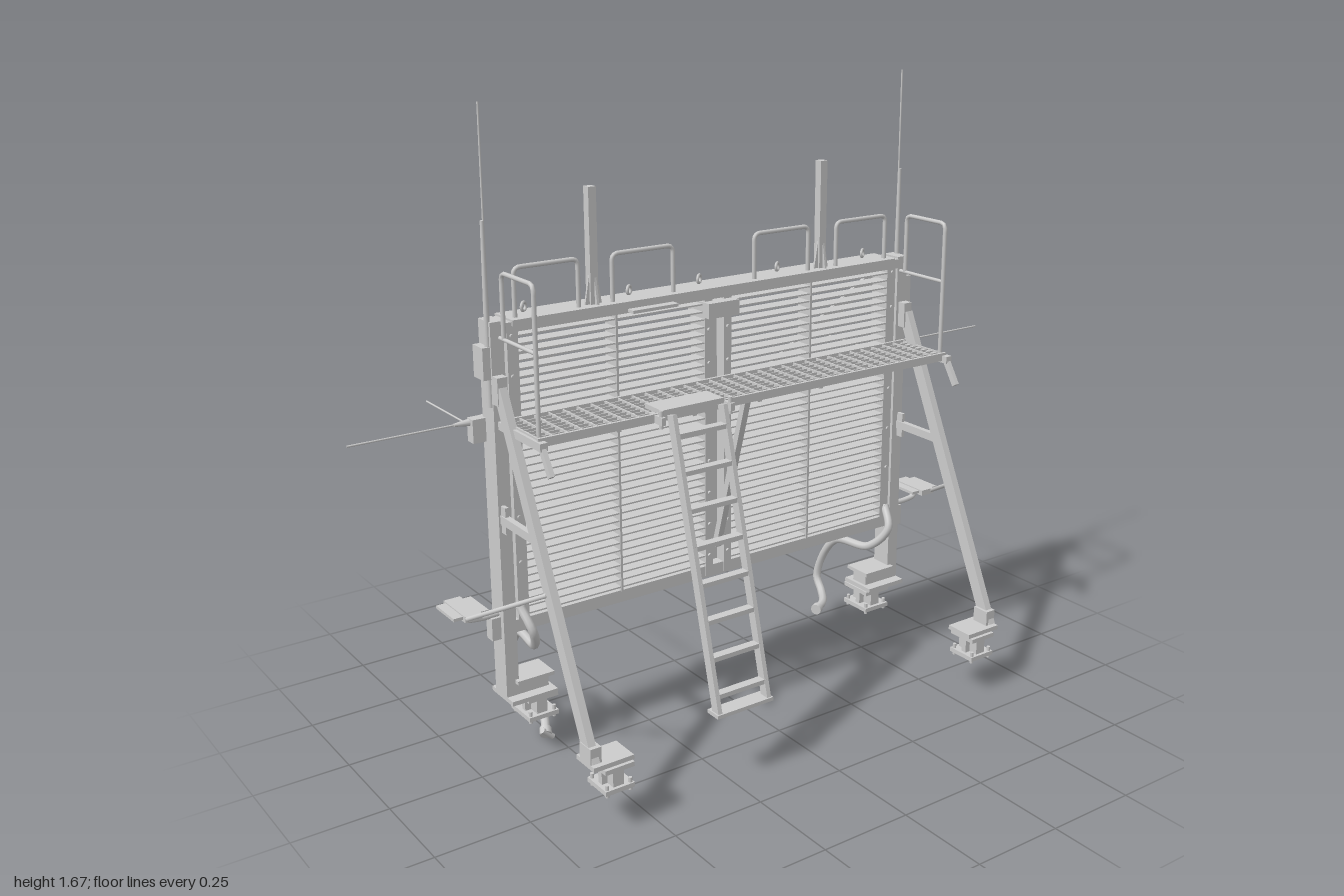
import * as THREE from 'three';

const V = (x, y, z) => new THREE.Vector3(x, y, z);

export function createModel() {
  const root = new THREE.Group();
  const mat = new THREE.MeshStandardMaterial({ color: 0xcccccc, side: THREE.DoubleSide });

  const add = (name, geo) => {
    const m = new THREE.Mesh(geo, mat);
    m.name = name;
    root.add(m);
    return m;
  };
  // Box given by its min and max corners
  const box = (name, x0, x1, y0, y1, z0, z1) => {
    const m = add(name, new THREE.BoxGeometry(Math.abs(x1 - x0), y1 - y0, z1 - z0));
    m.position.set((x0 + x1) / 2, (y0 + y1) / 2, (z0 + z1) / 2);
    return m;
  };
  // Square bar between two points: w across x (or the side), d the other way
  const beam = (name, a, b, w, d) => {
    const dir = b.clone().sub(a);
    const m = add(name, new THREE.BoxGeometry(w, dir.length(), d));
    m.position.copy(a).add(b).multiplyScalar(0.5);
    m.quaternion.setFromUnitVectors(V(0, 1, 0), dir.normalize());
    return m;
  };
  // Round rod between two points, tapering from r0 to r1
  const rod = (name, a, b, r0, r1 = r0) => {
    const dir = b.clone().sub(a);
    const m = add(name, new THREE.CylinderGeometry(r1, r0, dir.length(), 10));
    m.position.copy(a).add(b).multiplyScalar(0.5);
    m.quaternion.setFromUnitVectors(V(0, 1, 0), dir.normalize());
    return m;
  };
  const hose = (name, pts, r, n = 48) =>
    add(name, new THREE.TubeGeometry(new THREE.CatmullRomCurve3(pts), n, r, 8));
  // Pipe hoop with rounded corners: base a, base b, top height y
  const hoop = (name, a, b, y) => {
    const c = 0.018, path = new THREE.CurvePath();
    const ta = V(a.x, y, a.z), tb = V(b.x, y, b.z);
    const along = tb.clone().sub(ta).normalize().multiplyScalar(c);
    const a1 = V(a.x, y - c, a.z), a2 = ta.clone().add(along);
    const b1 = tb.clone().sub(along), b2 = V(b.x, y - c, b.z);
    path.add(new THREE.LineCurve3(a, a1));
    path.add(new THREE.QuadraticBezierCurve3(a1, ta, a2));
    path.add(new THREE.LineCurve3(a2, b1));
    path.add(new THREE.QuadraticBezierCurve3(b1, tb, b2));
    path.add(new THREE.LineCurve3(b2, b));
    add(name, new THREE.TubeGeometry(path, 60, 0.006, 8));
  };
  // I-section pedestal with base plate and bolts
  const pedestal = (name, x, y0, y1, z, w, d) => {
    box(name + 'BasePlate', x - w / 2, x + w / 2, y0, y0 + 0.012, z - d / 2, z + d / 2);
    box(name + 'TopPlate', x - w / 2, x + w / 2, y1 - 0.012, y1, z - d / 2, z + d / 2);
    box(name + 'Web', x - 0.015, x + 0.015, y0, y1, z - d * 0.4, z + d * 0.4);
    box(name + 'CrossWeb', x - w * 0.38, x + w * 0.38, y0, y1, z - 0.008, z + 0.008);
    for (const i of [-1, 1]) for (const j of [-1, 1])
      rod(name + 'Bolt', V(x + i * w * 0.4, y0 - 0.008, z + j * d * 0.4), V(x + i * w * 0.4, y0 + 0.024, z + j * d * 0.4), 0.005);
  };

  // Main frame
  box('topBeam', -0.62, 0.62, 1.13, 1.155, -0.1, -0.025);
  box('topBeamLip', -0.6, 0.6, 1.145, 1.16, -0.11, -0.02);
  box('bottomBeam', -0.62, 0.62, 0.355, 0.388, -0.09, -0.03);
  for (const s of [-1, 1]) {
    box('centerPostFlange', s * 0.018, s * 0.042, 0.36, 1.14, -0.093, -0.028);
    box('thinMullion', s * 0.305, s * 0.311, 0.385, 1.13, -0.08, -0.028);
  }
  box('centerPostWeb', -0.02, 0.02, 0.36, 1.14, -0.085, -0.06);
  box('centerPostHead', -0.048, 0.048, 1.085, 1.125, -0.095, 0);
  for (let y = 0.42; y < 1.08; y += 0.09)
    for (const s of [-1, 1]) rod('centerPostBolt', V(s * 0.03, y, -0.1), V(s * 0.03, y, -0.022), 0.005);

  // Horizontal louvre slats
  for (let i = 0; i < 36; i++) {
    const y = 0.395 + i * 0.0206;
    for (const s of [-1, 1])
      box('slat', s * 0.042, s * 0.585, y, y + 0.004, -0.073, -0.03);
  }

  // Crossed braces on the back
  for (const s of [-1, 1]) {
    const a = V(-0.59, 0.75 - s * 0.345, -0.094 - (s + 1) * 0.004), b = V(0.59, 0.75 + s * 0.345, a.z);
    const m = add('crossBrace', new THREE.BoxGeometry(a.distanceTo(b), 0.034, 0.01));
    m.position.set(0, 0.75, a.z);
    m.rotation.z = Math.atan2(b.y - a.y, b.x - a.x);
  }

  // Lifting eyes
  for (const x of [-0.535, -0.235, -0.02, 0.235, 0.535]) {
    const eye = add('liftingEye', new THREE.TorusGeometry(0.011, 0.004, 6, 14));
    eye.position.set(x, 1.172, -0.085);
    eye.rotation.y = 0.6;
  }

  for (const s of [-1, 1]) {
    // Side posts
    box('sidePost', s * 0.62, s * 0.655, 0.17, 1.16, -0.09, -0.03);
    box('innerPost', s * 0.582, s * 0.612, 0.36, 1.14, -0.092, -0.03);
    box('postLink', s * 0.61, s * 0.622, 0.36, 1.14, -0.07, -0.05);
    for (let y = 0.28; y < 1.12; y += 0.12)
      rod('postBolt', V(s * 0.6, y + 0.14 > 1.12 ? 1.12 : y + 0.14, -0.098), V(s * 0.6, y + 0.14 > 1.12 ? 1.12 : y + 0.14, -0.025), 0.005);

    // Rear feet
    box('rearFootShelf', s * 0.525, s * 0.655, 0.17, 0.182, -0.11, 0);
    box('rearFootBox', s * 0.535, s * 0.62, 0.182, 0.222, -0.085, -0.03);
    box('rearFootCap', s * 0.525, s * 0.63, 0.215, 0.225, -0.1, -0.015);
    pedestal('rearFoot', s * 0.563, 0.105, 0.17, -0.058, 0.085, 0.1);

    // Raking front legs with feet
    beam('frontLeg', V(s * 0.643, 0.18, 0.37), V(s * 0.643, 1.0, -0.015), 0.02, 0.036);
    box('frontLegTopBracket', s * 0.628, s * 0.655, 0.96, 1.03, -0.04, -0.005);
    box('frontFootShelf', s * 0.545, s * 0.655, 0.172, 0.184, 0.315, 0.395);
    box('frontFootGusset', s * 0.625, s * 0.655, 0.18, 0.225, 0.33, 0.38);
    pedestal('frontFoot', s * 0.59, 0.105, 0.172, 0.362, 0.08, 0.085);

    // Horizontal tie between leg and post
    beam('legTie', V(s * 0.643, 0.665, 0.14), V(s * 0.643, 0.665, -0.03), 0.016, 0.022);
    box('tieGusset', s * 0.638, s * 0.648, 0.63, 0.7, -0.035, -0.008);
    box('walkwayEndBracket', s * 0.625, s * 0.645, 0.895, 0.915, -0.04, 0.175);
    beam('walkwayCorner', V(s * 0.635, 0.84, 0.205), V(s * 0.635, 0.91, 0.16), 0.012, 0.016);

    // Side pad with bent carrier pipe and stay
    box('sidePad', s * 0.7, s * 0.795, 0.435, 0.443, -0.115, -0.018);
    box('sidePadTab', s * 0.725, s * 0.77, 0.43, 0.446, -0.125, -0.005);
    hose('sidePadPipe', [V(s * 0.75, 0.432, -0.06), V(s * 0.74, 0.412, -0.06), V(s * 0.71, 0.405, -0.06), V(s * 0.64, 0.405, -0.06)], 0.008, 20);
    box('sidePadClamp', s * 0.65, s * 0.68, 0.34, 0.4, -0.075, -0.045);
    rod('sidePadStay', V(s * 0.765, 0.44, -0.005), V(s * 0.65, 0.545, 0.19), 0.006);

    // Top guard hoops and end guard rail
    hoop('topHoop', V(s * 0.58, 1.155, -0.045), V(s * 0.405, 1.155, -0.045), 1.28);
    hoop('topHoop', V(s * 0.308, 1.155, -0.045), V(s * 0.128, 1.155, -0.045), 1.28);
    hoop('endRail', V(s * 0.63, 0.91, 0.143), V(s * 0.63, 1.12, -0.01), 1.28);
    rod('endMidRail', V(s * 0.63, 1.12, 0.143), V(s * 0.63, 1.12, -0.035), 0.005);

    // Mast with gussets
    box('mast', s * 0.348, s * 0.37, 1.155, 1.45, -0.068, -0.045);
    for (const r of [0, Math.PI / 2]) {
      const shape = new THREE.Shape([[-0.024, 0], [0.024, 0], [0.011, 0.075], [-0.011, 0.075]].map(p => new THREE.Vector2(...p)));
      const g = add('mastGusset', new THREE.ExtrudeGeometry(shape, { depth: 0.006, bevelEnabled: false }));
      g.position.set(s * 0.359, 1.158, -0.057);
      g.rotation.y = r;
    }

    // Whip aerials: upright, sideways and rearward
    const wz = s < 0 ? -0.045 : -0.075, hy = s < 0 ? 0.905 : 0.89, by = s < 0 ? 0.87 : 0.857;
    rod('aerialBase', V(s * 0.655, 0.95, wz), V(s * 0.655, 1.4, wz), 0.009, 0.005);
    rod('uprightAerial', V(s * 0.652, 1.3, wz), V(s * 0.652, 1.67, wz), 0.0025);
    box('aerialBracket', s * 0.65, s * 0.675, 1.02, 1.1, -0.085, -0.035);
    rod('sideAerialBase', V(s * 0.65, hy, -0.095), V(s * 0.73, hy, -0.095), 0.014, 0.004);
    rod('sideAerial', V(s * 0.7, hy, -0.095), V(s, hy, -0.095), 0.0025);
    rod('rearAerial', V(s * 0.652, by, -0.08), V(s * 0.652, by, -0.415), 0.0025);
    box('sideBracket', s * 0.64, s * 0.69, 0.855, 0.915, -0.105, -0.075);

    // Hose hanging from the post
    const end = s < 0
      ? [V(-0.5, 0.1, -0.2), V(-0.505, 0.05, -0.12), V(-0.53, 0.02, -0.065)]
      : [V(0.52, 0.1, -0.215), V(0.48, 0.095, -0.16), V(0.43, 0.093, -0.13)];
    hose('hose', [V(s * 0.605, 0.42, -0.035), V(s * 0.59, 0.36, 0), V(s * 0.562, 0.295, -0.05),
      V(s * 0.54, 0.275, -0.18), V(s * 0.53, 0.14, -0.25), ...end], 0.012, 64);
    const tip = end[2], prev = end[1];
    rod('hoseCoupling', tip.clone().lerp(prev, 0.3), tip, 0.016);
  }
  rod('hoseHook', V(-0.54, 0.035, -0.065), V(-0.51, 0.008, -0.065), 0.008);

  // Grated walkway
  for (const z of [-0.02, 0.15]) box('walkwayRail', -0.64, 0.64, 0.9, 0.922, z, z + 0.008);
  for (let i = 0; i <= 32; i++) {
    const x = -0.635 + i * 0.0397;
    box('gratingBar', x - 0.002, x + 0.002, 0.9, 0.92, -0.015, 0.152);
  }
  for (let z = 0.004; z < 0.15; z += 0.021) box('gratingStrip', -0.635, 0.635, 0.908, 0.918, z, z + 0.003);
  for (const x of [-0.42, -0.2, 0, 0.2, 0.42]) box('walkwayJoist', x - 0.006, x + 0.006, 0.895, 0.905, -0.03, 0.155);
  beam('centerStrut', V(0, 0.9, 0.1), V(0, 0.44, -0.035), 0.018, 0.018);

  // Access ladder
  const ladderAt = (x, y) => V(x, y, 0.37 - (y - 0.19) * 0.26);
  for (const x of [-0.285, -0.135]) beam('ladderRail', ladderAt(x, 0.19), ladderAt(x, 0.92), 0.012, 0.026);
  for (let i = 0; i < 8; i++)
    beam('ladderRung', ladderAt(-0.285, 0.24 + i * 0.09), ladderAt(-0.135, 0.24 + i * 0.09), 0.012, 0.024);
  box('ladderFootPlate', -0.295, -0.125, 0.19, 0.2, 0.34, 0.385);
  box('ladderTopPlate', -0.305, -0.12, 0.918, 0.93, 0.09, 0.165);
  for (const x of [-0.315, -0.11]) {
    beam('ladderHook', V(x, 0.91, 0.13), V(x, 0.91, 0.19), 0.012, 0.02);
    rod('ladderHookPin', V(x, 0.89, 0.178), V(x, 0.935, 0.178), 0.006);
  }
  box('topHandle', -0.28, -0.145, 1.134, 1.142, -0.02, 0.005);

  return root;
}
